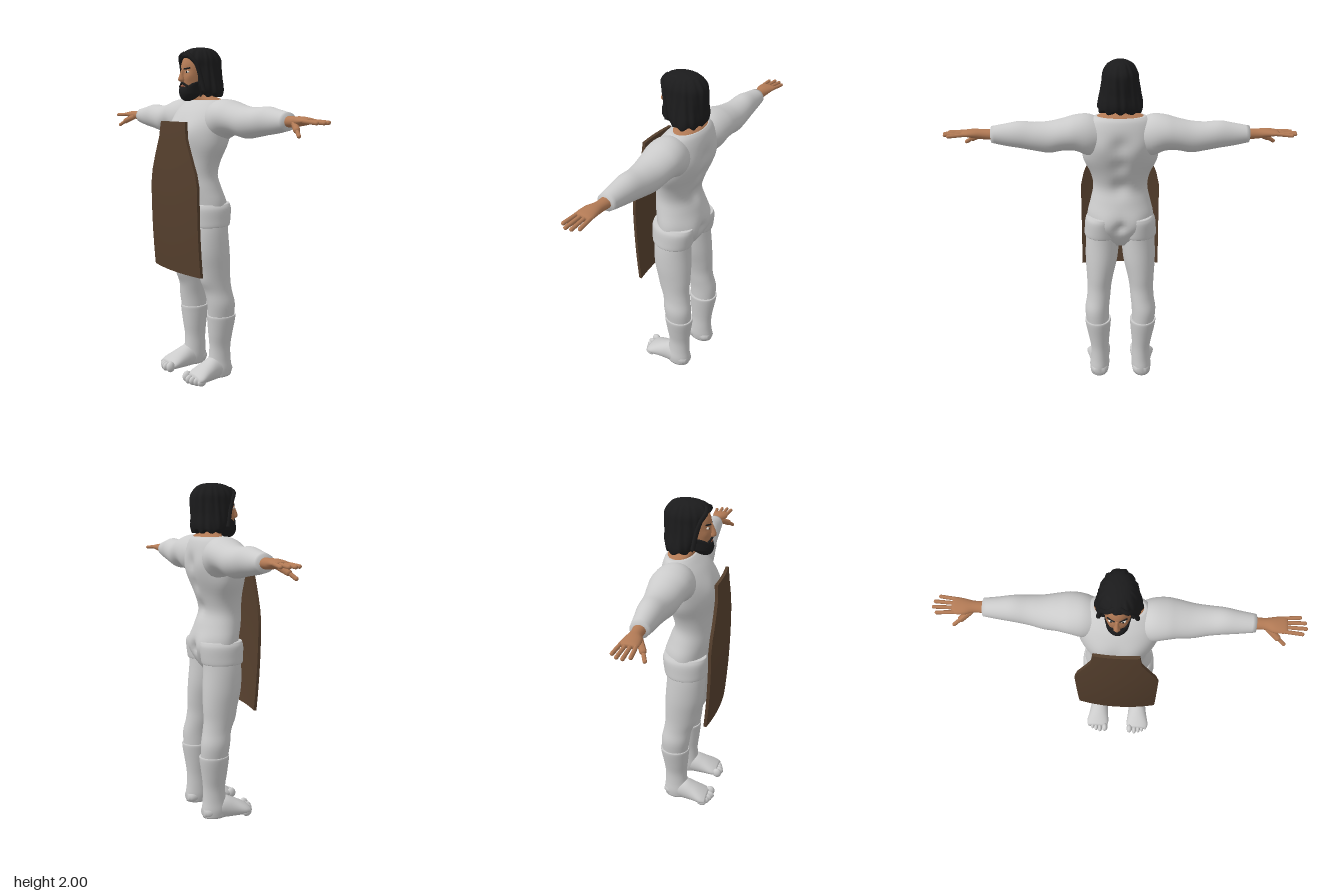
import * as THREE from 'three';

const mat = (name, color, side = THREE.FrontSide) => {
  const m = new THREE.MeshStandardMaterial({ color, side });
  m.name = name;
  return m;
};

// Smooth closed skin through elliptical sections [t, a, b, radiusA, radiusB] along one axis.
// Axis y: a = x, b = z. Axis x: a = y, b = z. Axis z: a = x, b = y.
function loft(rows, axis = 'y', { n = 32, sub = 4, rule } = {}) {
  const V = (x, y, z) => new THREE.Vector3(x, y, z);
  const centre = new THREE.CatmullRomCurve3(rows.map(r => V(r[0], r[1], r[2])), false, 'catmullrom');
  const radius = new THREE.CatmullRomCurve3(rows.map(r => V(r[3], r[4], 0)), false, 'catmullrom');
  const steps = (rows.length - 1) * sub, pos = [], idx = [];
  const put = (t, a, b) => {
    const v = axis === 'y' ? V(a, t, b) : axis === 'x' ? V(t, a, b) : V(a, b, t);
    if (rule) rule(v);
    pos.push(v.x, v.y, v.z);
  };
  for (let i = 0; i <= steps; i++) {
    const c = centre.getPoint(i / steps), r = radius.getPoint(i / steps);
    for (let j = 0; j < n; j++) {
      const q = j / n * Math.PI * 2;
      put(c.x, c.y + r.x * Math.sin(q), c.z + r.y * Math.cos(q));
    }
  }
  const first = rows[0], last = rows[rows.length - 1], base = (steps + 1) * n;
  put(first[0], first[1], first[2]);
  put(last[0], last[1], last[2]);
  const flip = (axis !== 'y') !== (last[0] < first[0]);
  const tri = (a, b, c) => flip ? idx.push(a, c, b) : idx.push(a, b, c);
  for (let j = 0; j < n; j++) {
    const k = (j + 1) % n;
    for (let i = 0; i < steps; i++) {
      const p = i * n, q = p + n;
      tri(p + j, p + k, q + k);
      tri(p + j, q + k, q + j);
    }
    tri(base, k, j);
    tri(base + 1, steps * n + j, steps * n + k);
  }
  const g = new THREE.BufferGeometry();
  g.setAttribute('position', new THREE.Float32BufferAttribute(pos, 3));
  g.setIndex(idx);
  g.computeVertexNormals();
  return g;
}

// Soft muscle bumps [x, y, z, reach, dx, dy, dz], mirrored over x
const bumps = list => v => {
  const s = v.x < 0 ? -1 : 1, o = v.clone();
  for (const [x, y, z, r, dx, dy, dz] of list) {
    const w = Math.exp(-((o.x * s - x) ** 2 + (o.y - y) ** 2 + (o.z - z) ** 2) / (r * r));
    v.x += s * dx * w; v.y += dy * w; v.z += dz * w;
  }
};

// Rounded rod between two points
function rod(a, b, r) {
  const p = new THREE.Vector3(...a), q = new THREE.Vector3(...b), d = q.clone().sub(p);
  const g = new THREE.CapsuleGeometry(r, d.length(), 5, 10);
  g.applyQuaternion(new THREE.Quaternion().setFromUnitVectors(new THREE.Vector3(0, 1, 0), d.normalize()));
  const m = p.add(q).multiplyScalar(0.5);
  return g.translate(m.x, m.y, m.z);
}

const ball = (x, y, z, rx, ry, rz) => new THREE.SphereGeometry(1, 16, 12).scale(rx, ry, rz).translate(x, y, z);

function mirrorX(geo) {
  const g = geo.clone().scale(-1, 1, 1), i = g.index.array;
  for (let k = 0; k < i.length; k += 3) [i[k], i[k + 1]] = [i[k + 1], i[k]];
  g.computeVertexNormals();
  return g;
}

export function createModel() {
  const model = new THREE.Group();
  const linen = mat('pale linen', 0xcbcbcb), skin = mat('skin', 0xb27a55), hair = mat('black hair', 0x1b1b1c);
  const leather = mat('brown leather', 0x553f2d), white = mat('eye white', 0xd8d4cc), lip = mat('lip', 0x8c5542);
  const add = (name, geo, m) => {
    const mesh = new THREE.Mesh(geo, m);
    mesh.name = name;
    model.add(mesh);
  };
  const pair = (name, geo, m) => {
    add(name + 'Left', geo, m);
    add(name + 'Right', mirrorX(geo), m);
  };

  // Torso with chest, shoulder blades, spine groove and seat
  add('torso', loft([
    [0.9, 0, -0.02, 0.09, 0.07], [0.95, 0, -0.02, 0.165, 0.108], [1.02, 0, -0.03, 0.195, 0.125],
    [1.1, 0, -0.027, 0.195, 0.132], [1.18, 0, -0.008, 0.175, 0.13], [1.26, 0, 0.005, 0.16, 0.12],
    [1.35, 0, -0.003, 0.175, 0.132], [1.45, 0, -0.018, 0.21, 0.153], [1.55, 0, -0.033, 0.225, 0.147],
    [1.62, 0, -0.05, 0.21, 0.128], [1.67, 0, -0.065, 0.175, 0.1], [1.695, 0, -0.07, 0.14, 0.078],
  ], 'y', { n: 56, rule: bumps([
    [0.09, 1.51, 0.12, 0.07, 0, 0, 0.016], [0.09, 1.05, -0.15, 0.07, 0, 0, -0.018],
    [0, 1.04, -0.16, 0.03, 0, 0, 0.025], [0, 1.28, -0.12, 0.05, 0, 0, 0.02],
    [0, 1.42, -0.17, 0.05, 0, 0, 0.02], [0, 1.54, -0.18, 0.05, 0, 0, 0.015],
    [0.11, 1.53, -0.16, 0.07, 0, 0, -0.015], [0.19, 1.42, -0.05, 0.07, 0.012, 0, 0],
  ]) }), linen);

  // Sleeves
  pair('sleeve', loft([
    [0.08, 1.575, -0.06, 0.08, 0.08], [0.17, 1.58, -0.06, 0.118, 0.115], [0.25, 1.595, -0.065, 0.102, 0.117],
    [0.32, 1.588, -0.07, 0.091, 0.106], [0.4, 1.573, -0.072, 0.089, 0.094], [0.48, 1.577, -0.076, 0.081, 0.081],
    [0.56, 1.587, -0.075, 0.077, 0.072], [0.64, 1.586, -0.073, 0.064, 0.061], [0.725, 1.587, -0.072, 0.047, 0.05],
  ], 'x'), linen);

  // Hands with fanned fingers and a lowered thumb
  pair('palm', loft([
    [0.7, 1.587, -0.072, 0.03, 0.036], [0.77, 1.588, -0.071, 0.028, 0.032], [0.82, 1.592, -0.066, 0.025, 0.045],
    [0.87, 1.594, -0.068, 0.017, 0.05], [0.892, 1.594, -0.068, 0.01, 0.042],
  ], 'x', { n: 20 }), skin);
  [[-0.106, -0.118, 0.96], [-0.081, -0.088, 0.985], [-0.056, -0.056, 0.99], [-0.031, -0.024, 0.97]].forEach(([z0, z1, x], i) =>
    pair('finger' + (i + 1), rod([0.865, 1.594, z0], [x, 1.588, z1], 0.0105), skin));
  pair('thumbBase', rod([0.795, 1.578, -0.045], [0.845, 1.55, -0.012], 0.018), skin);
  pair('thumb', rod([0.845, 1.55, -0.012], [0.885, 1.522, 0.01], 0.011), skin);

  // Legs, short trouser cuffs and boots
  pair('leg', loft([
    [1.02, 0.105, -0.03, 0.09, 0.11], [0.92, 0.108, -0.025, 0.1, 0.116], [0.8, 0.115, -0.032, 0.097, 0.118],
    [0.7, 0.124, -0.046, 0.083, 0.107], [0.62, 0.13, -0.058, 0.074, 0.094], [0.55, 0.135, -0.073, 0.072, 0.088],
    [0.47, 0.145, -0.086, 0.074, 0.09], [0.37, 0.14, -0.092, 0.068, 0.082],
  ], 'y', { rule: bumps([[0.13, 0.62, 0.04, 0.05, 0, 0, 0.012]]) }), linen);
  pair('trouserCuff', loft([
    [1.09, 0.105, -0.03, 0.085, 0.128], [1.06, 0.108, -0.03, 0.1, 0.134], [1.0, 0.109, -0.028, 0.105, 0.13],
    [0.962, 0.109, -0.026, 0.107, 0.125], [0.958, 0.109, -0.026, 0.099, 0.117],
  ]), linen);
  pair('boot', loft([
    [0.4, 0.14, -0.092, 0.07, 0.082], [0.398, 0.14, -0.092, 0.08, 0.092], [0.36, 0.139, -0.092, 0.077, 0.089],
    [0.28, 0.135, -0.09, 0.066, 0.079], [0.2, 0.131, -0.09, 0.056, 0.07], [0.12, 0.131, -0.088, 0.058, 0.073],
    [0.06, 0.134, -0.085, 0.062, 0.082], [0.012, 0.136, -0.085, 0.056, 0.078],
  ]), linen);
  const sole = v => { v.y = Math.max(v.y, 0.008); };
  pair('foot', loft([
    [-0.165, 0.133, 0.045, 0.03, 0.025], [-0.13, 0.133, 0.05, 0.055, 0.05], [-0.04, 0.136, 0.062, 0.06, 0.075],
    [0.03, 0.14, 0.052, 0.068, 0.06], [0.09, 0.144, 0.04, 0.077, 0.04], [0.125, 0.144, 0.032, 0.068, 0.026],
  ], 'z', { rule: sole }), linen);
  [[0.09, 0.13, 0.021, 0.034], [0.125, 0.135, 0.016, 0.028], [0.153, 0.127, 0.015, 0.027],
    [0.179, 0.115, 0.015, 0.026], [0.203, 0.1, 0.014, 0.024]].forEach(([x, z, rx, ry], i) =>
    pair('toe' + (i + 1), ball(x, ry, z, rx, ry, 0.03), linen));

  // Neck and face
  add('neck', loft([
    [1.62, 0, -0.075, 0.15, 0.08], [1.68, 0, -0.075, 0.148, 0.078], [1.7, 0, -0.07, 0.12, 0.074],
    [1.725, 0, -0.055, 0.07, 0.064], [1.8, 0, -0.04, 0.058, 0.06],
  ]), skin);
  add('head', loft([
    [1.705, 0, 0.05, 0.025, 0.03], [1.73, 0, 0.03, 0.05, 0.06], [1.78, 0, 0.01, 0.064, 0.084],
    [1.84, 0, 0, 0.071, 0.098], [1.9, 0, -0.01, 0.075, 0.1], [1.95, 0, -0.02, 0.062, 0.085], [1.975, 0, -0.03, 0.035, 0.05],
  ], 'y', { n: 40, rule: bumps([[0.03, 1.857, 0.09, 0.02, 0, 0, -0.008], [0.045, 1.825, 0.075, 0.02, 0.002, 0, 0.005]]) }), skin);
  add('nose', loft([
    [1.798, 0, 0.093, 0.012, 0.01], [1.81, 0, 0.1, 0.018, 0.022], [1.84, 0, 0.095, 0.011, 0.019], [1.875, 0, 0.086, 0.008, 0.012],
  ], 'y', { n: 16 }), skin);
  pair('eye', ball(0.03, 1.855, 0.08, 0.014, 0.007, 0.009), white);
  pair('iris', ball(0.03, 1.855, 0.0865, 0.006, 0.006, 0.004), hair);
  pair('brow', rod([0.014, 1.872, 0.091], [0.047, 1.877, 0.076], 0.0045), hair);

  // Beard, moustache and mouth
  add('beard', loft([
    [1.69, 0, 0.06, 0.015, 0.018], [1.705, 0, 0.052, 0.038, 0.045], [1.735, 0, 0.038, 0.06, 0.07],
    [1.76, 0, 0.024, 0.068, 0.08], [1.77, 0, 0.018, 0.066, 0.078],
  ], 'y', { rule: v => { if (v.y > 1.735) v.y += 0.035 * Math.max(0, Math.abs(v.x) - 0.03) / 0.04; } }), hair);
  pair('moustache', rod([0.005, 1.792, 0.096], [0.036, 1.772, 0.085], 0.0075), hair);
  pair('moustacheEnd', rod([0.036, 1.772, 0.085], [0.043, 1.75, 0.078], 0.007), hair);
  add('mouth', ball(0, 1.775, 0.094, 0.02, 0.006, 0.008), lip);

  // Shoulder-length hair, drawn back from the face below a parted hairline and ridged into strands
  const strands = v => {
    const q = Math.atan2(v.x, v.z + 0.04);
    const k = 1 + (0.025 * Math.cos(q * 15) + 0.015 * Math.cos(q * 23 + v.y * 14)) * (v.y > 1.98 ? 0.3 : 1);
    v.x *= k;
    v.z = (v.z + 0.04) * k - 0.04;
    const line = 1.94 - 7 * v.x * v.x;
    const open = 1 - THREE.MathUtils.smoothstep(v.y, line - 0.03, line + 0.01);
    const limit = v.y < 1.78 ? 0.03 - (1.78 - v.y) * 0.5 : 0.03;
    if (v.z > limit) v.z += (limit - v.z) * open;
    if (v.y < 1.73) v.y += 0.008 * Math.cos(q * 11);
  };
  add('hair', loft([
    [1.72, 0, -0.07, 0.1, 0.07], [1.725, 0, -0.07, 0.122, 0.085], [1.76, 0, -0.06, 0.124, 0.107],
    [1.82, 0, -0.045, 0.113, 0.122], [1.88, 0, -0.04, 0.103, 0.13], [1.93, 0, -0.035, 0.096, 0.132],
    [1.97, 0, -0.035, 0.073, 0.105], [1.99, 0, -0.04, 0.045, 0.068], [1.998, 0, -0.04, 0.014, 0.02],
  ], 'y', { n: 96, sub: 6, rule: strands }), hair);
  const lock = pts => new THREE.TubeGeometry(new THREE.CatmullRomCurve3(pts.map(p => new THREE.Vector3(...p))), 16, 0.013, 8);
  pair('templeLock', lock([[0.01, 1.965, 0.065], [0.045, 1.945, 0.075], [0.076, 1.9, 0.05], [0.088, 1.83, 0.03], [0.1, 1.75, 0.015]]), hair);

  // Curved apron, narrow at the bib
  const profile = [[0.68, 0.24], [1.2, 0.24], [1.28, 0.222], [1.48, 0.137], [1.572, 0.125]];
  const levels = [0.68, 0.7, 0.78, 0.88, 0.98, 1.08, 1.15, 1.2, 1.24, 1.28, 1.34, 1.41, 1.48, 1.53, 1.572];
  const halfWidth = y => {
    const i = Math.max(1, profile.findIndex(p => p[0] >= y));
    const [y0, w0] = profile[i - 1], [y1, w1] = profile[i];
    return w0 + (w1 - w0) * (y - y0) / (y1 - y0);
  };
  const apron = new THREE.BoxGeometry(2, levels.length - 1, 0.018, 16, levels.length - 1, 1);
  const p = apron.attributes.position;
  for (let i = 0; i < p.count; i++) {
    const y = levels[Math.round(p.getY(i) + (levels.length - 1) / 2)], x = p.getX(i) * halfWidth(y);
    const z = 0.18 + p.getZ(i) - 0.026 * (x / 0.24) ** 2 - 0.022 * ((y - 1.17) / 0.46) ** 2;
    p.setXYZ(i, x, y, z);
  }
  apron.computeVertexNormals();
  add('apron', apron, leather);

  return model;
}
